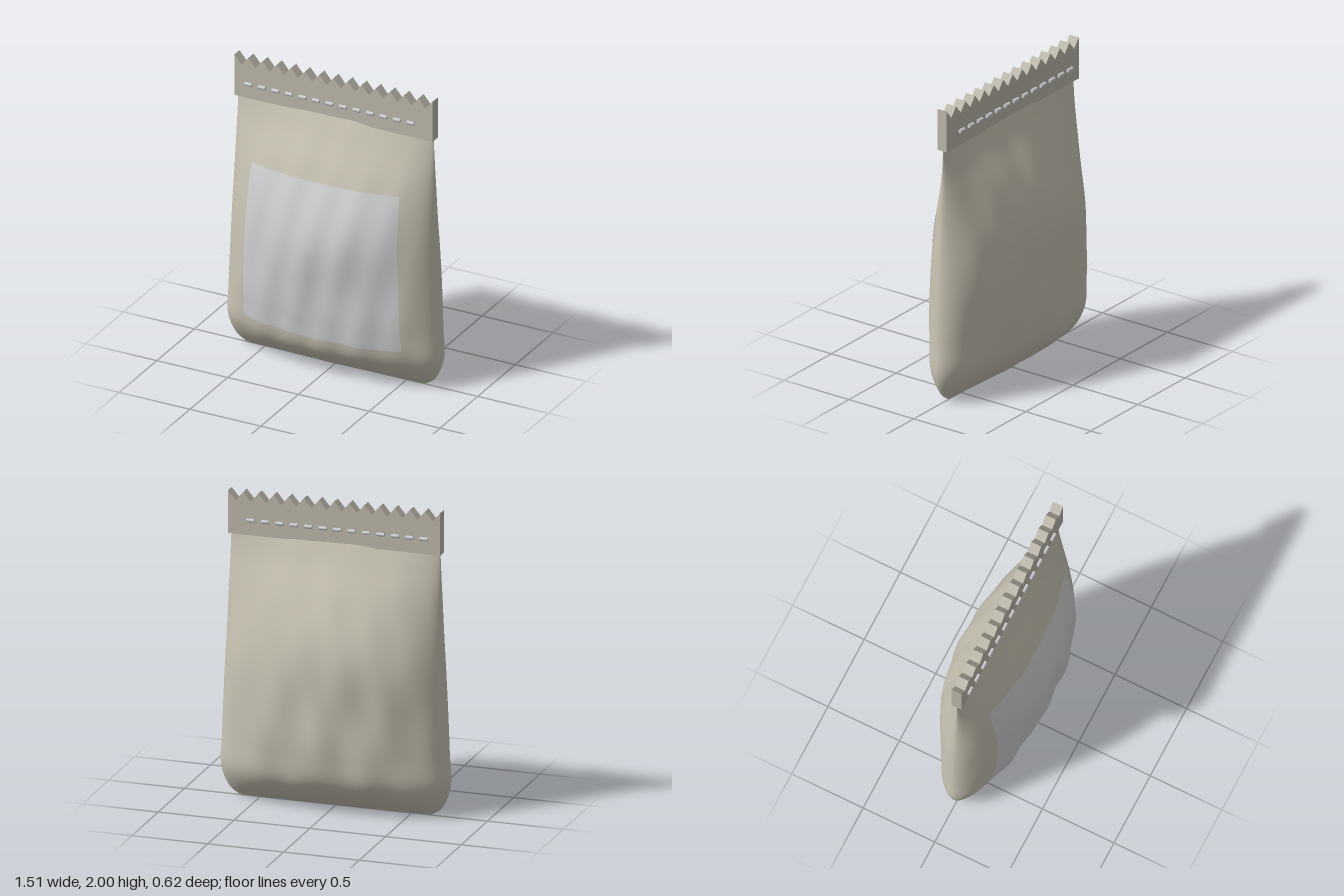
import * as THREE from 'three';

const mat = (name, color, side = THREE.FrontSide) => {
  const m = new THREE.MeshStandardMaterial({ color, side });
  m.name = name;
  return m;
};

// Bag profile: half width, height, half depth, from bottom seam to top
const profile = new THREE.CatmullRomCurve3([
  [0.63, 0, 0.002], [0.705, 0.06, 0.11], [0.755, 0.2, 0.235], [0.747, 0.4, 0.278],
  [0.738, 0.65, 0.296], [0.724, 0.95, 0.302], [0.714, 1.15, 0.268], [0.704, 1.4, 0.18],
  [0.695, 1.6, 0.088], [0.69, 1.72, 0.04], [0.689, 1.745, 0.03],
].map((p) => new THREE.Vector3(...p)), false, 'centripetal');
const samples = profile.getPoints(300);

function sectionAt(y) {
  let i = 1;
  while (i < samples.length - 1 && samples[i].y < y) i++;
  const a = samples[i - 1], b = samples[i];
  return a.clone().lerp(b, THREE.MathUtils.clamp((y - a.y) / (b.y - a.y), 0, 1));
}

// Depth of the pillow surface at x on a section; side is 1 (front) or -1 (back)
function depthAt(x, s, side) {
  const edge = Math.max(0, 1 - (x / s.x) ** 2);
  const power = THREE.MathUtils.lerp(0.5, 0.6, Math.min(1, s.y / 1.2));
  const wrinkle = 0.016 * Math.sin(17 * x + 4.5 * s.y + side) * Math.sin(2.3 * s.y + 0.5)
    + 0.010 * Math.sin(27 * x - 6 * s.y + 2 * side)
    + 0.012 * Math.sin(7.5 * s.y - 5 * x + 1.3 * side);
  return side * s.z * edge ** power * (1 + wrinkle * 1.6);
}

function gridGeometry(positions, index) {
  const g = new THREE.BufferGeometry();
  g.setAttribute('position', new THREE.Float32BufferAttribute(positions, 3));
  g.setIndex(index);
  g.computeVertexNormals();
  return g;
}

// Closed rings stacked up the profile
function bagGeometry(rows = 60, cols = 112) {
  const pos = [], idx = [];
  for (let i = 0; i <= rows; i++) {
    const s = profile.getPoint(i / rows);
    for (let j = 0; j < cols; j++) {
      const t = (j / cols) * Math.PI * 2;
      const x = s.x * Math.cos(t);
      pos.push(x, s.y, depthAt(x, s, Math.sin(t) >= 0 ? 1 : -1));
      if (i < rows) {
        const a = i * cols + j, b = i * cols + ((j + 1) % cols);
        idx.push(a, a + cols, b, b, a + cols, b + cols);
      }
    }
  }
  return gridGeometry(pos, idx);
}

// Sheet that follows the front of the bag
function labelGeometry(rows = 50, cols = 50) {
  const pos = [], idx = [];
  for (let i = 0; i <= rows; i++) {
    const v = i / rows, y = THREE.MathUtils.lerp(0.285, 1.34, v);
    const half = THREE.MathUtils.lerp(0.558, 0.522, v), s = sectionAt(y);
    for (let j = 0; j <= cols; j++) {
      const x = half * (2 * j / cols - 1);
      pos.push(x, y, depthAt(x, s, 1) + 0.008);
      if (i < rows && j < cols) {
        const a = i * (cols + 1) + j, c = a + cols + 1;
        idx.push(a, a + 1, c, a + 1, c + 1, c);
      }
    }
  }
  return gridGeometry(pos, idx);
}

// Flat band with a zigzag cut along its top
function bandGeometry(teeth = 14) {
  const shape = new THREE.Shape();
  shape.moveTo(-0.7, 1.72);
  shape.lineTo(0.7, 1.72);
  for (let i = 0; i <= teeth * 2; i++) {
    shape.lineTo(0.7 - (i * 0.7) / teeth, i % 2 ? 1.94 : 2);
  }
  shape.closePath();
  const g = new THREE.ExtrudeGeometry(shape, { depth: 0.07, bevelEnabled: false });
  return g.translate(0, 0, -0.035);
}

export function createModel() {
  const paper = mat('bag beige', 0xc9c4b4);
  const seal = mat('seal beige', 0xbeb9ac);
  const white = mat('label grey white', 0xd0d0d2, THREE.DoubleSide);
  const metal = mat('stitch silver', 0xcccdd2);

  const model = new THREE.Group();
  model.name = 'sealedBag';
  const add = (name, geometry, material, parent = model) => {
    const mesh = new THREE.Mesh(geometry, material);
    mesh.name = name;
    parent.add(mesh);
    return mesh;
  };

  add('bagBody', bagGeometry(), paper);
  add('frontLabel', labelGeometry(), white);
  add('topSeal', bandGeometry(), seal);

  // Row of stitches on both faces of the seal
  const stitches = new THREE.Group();
  stitches.name = 'stitches';
  model.add(stitches);
  const stitch = new THREE.CylinderGeometry(0.012, 0.012, 0.05, 12).rotateZ(Math.PI / 2);
  for (const side of [1, -1]) {
    for (let i = 0; i < 13; i++) {
      add(side > 0 ? 'frontStitch' : 'backStitch', stitch, metal, stitches)
        .position.set(-0.595 + i * 0.0953, 1.82, side * 0.043);
    }
  }
  return model;
}
